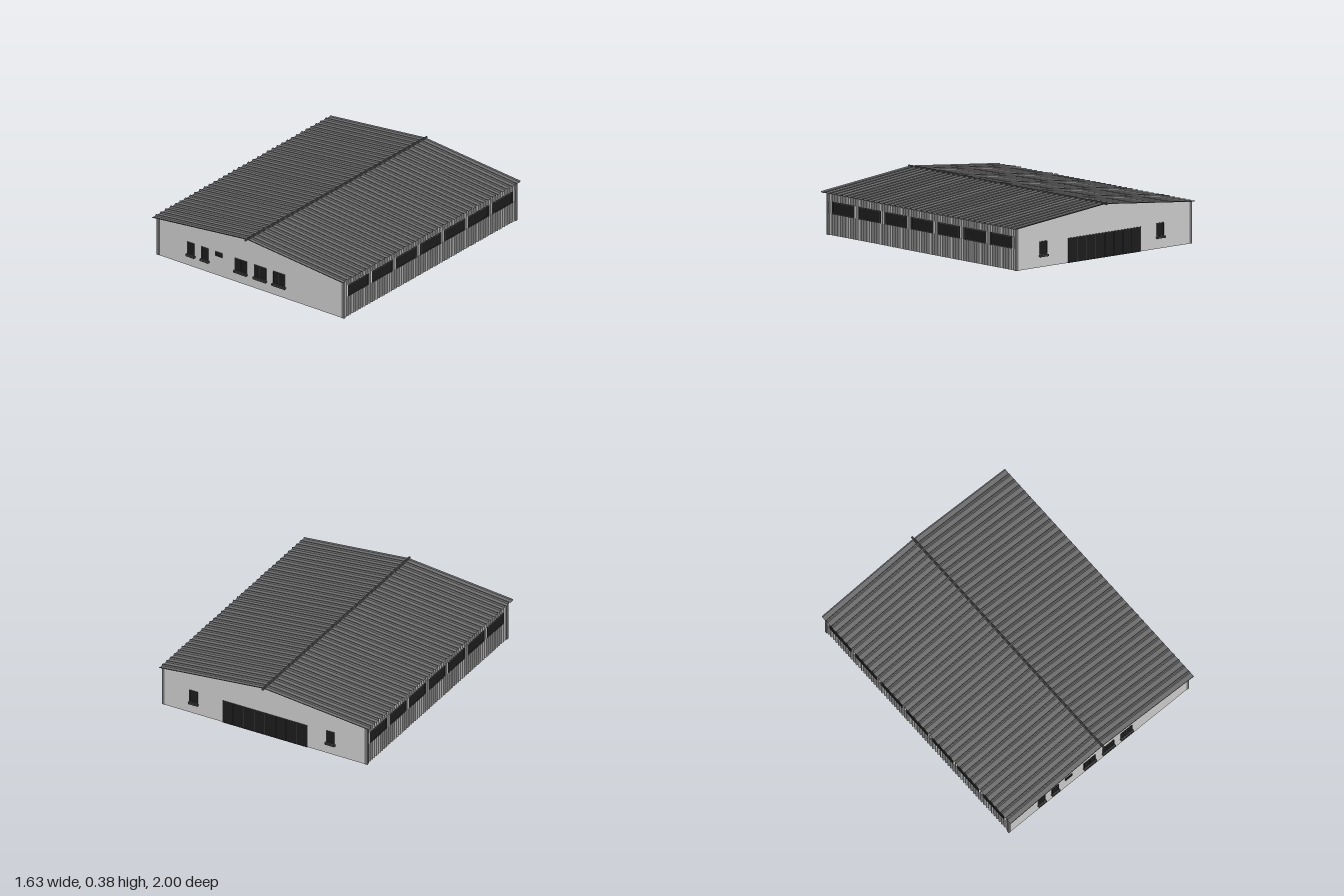
import * as THREE from 'three';

const grey = (color, double = false) => new THREE.MeshStandardMaterial({
  color, flatShading: true, side: double ? THREE.DoubleSide : THREE.FrontSide });
const wallMat = grey(0xcccccc, true);
const trimMat = grey(0x777777);
const roofMat = grey(0x6e6e6e, true);
const frameMat = grey(0x3c3c3c);
const glassMat = grey(0x1c1c1c);

// Main dimensions
const W = 0.8, FRONT = 0.942, BACK = -0.966, MID = (FRONT + BACK) / 2;
const ROOF_X = 0.816, ROOF_Z = 0.988, EAVE = 0.285, RIDGE = 0.365;
const roofY = x => RIDGE - (RIDGE - EAVE) * Math.abs(x) / ROOF_X;

function add(parent, name, geo, mat, x = 0, y = 0, z = 0) {
  const m = new THREE.Mesh(geo, mat);
  m.name = name;
  m.position.set(x, y, z);
  parent.add(m);
  return m;
}
const box = (parent, name, mat, w, h, d, x, y, z) =>
  add(parent, name, new THREE.BoxGeometry(w, h, d), mat, x, y, z);

// Trapezoidal rib profile: [distance, height] from t0 to t1
function ribProfile(t0, t1, pitch, base, crest, height) {
  const n = Math.max(1, Math.round((t1 - t0) / pitch)), p = (t1 - t0) / n, pts = [];
  const rib = (c, h) => pts.push([c - base / 2, 0], [c - crest / 2, h], [c + crest / 2, h], [c + base / 2, 0]);
  for (let i = 0; i <= n; i++) rib(t0 + i * p, height(i));
  return pts.filter(q => q[0] >= t0 - 1e-6 && q[0] <= t1 + 1e-6);
}

// Sweeps a profile between two ends; place(t, h, s) gives the point for s = 0 or 1
function sheet(profile, place) {
  const pos = [];
  for (let i = 0; i + 1 < profile.length; i++) {
    const [a, b] = [profile[i], profile[i + 1]];
    const c = [place(...a, 0), place(...a, 1), place(...b, 1), place(...b, 0)];
    for (const k of [0, 1, 2, 0, 2, 3]) pos.push(...c[k]);
  }
  const g = new THREE.BufferGeometry();
  g.setAttribute('position', new THREE.Float32BufferAttribute(pos, 3));
  g.computeVertexNormals();
  return g;
}

// Framed opening in the local xy plane, facing +z, split into equal panes
function framedPanel(name, w, h, panes, { sill = false, bar = 0.005 } = {}) {
  const g = new THREE.Group();
  g.name = name;
  box(g, 'glass', glassMat, w, h, 0.003, 0, h / 2, 0.002);
  for (const s of [-1, 1]) box(g, 'frameSide', frameMat, bar, h, 0.006, s * (w - bar) / 2, h / 2, 0.003);
  for (const y of [bar / 2, h - bar / 2]) box(g, 'frameRail', frameMat, w, bar, 0.006, 0, y, 0.003);
  for (let i = 1; i < panes; i++)
    box(g, 'mullion', frameMat, bar * 0.7, h, 0.006, -w / 2 + w * i / panes, h / 2, 0.003);
  if (sill) box(g, 'sill', frameMat, w + 0.01, 0.014, 0.018, 0, -0.009, 0.008);
  // reveal on the inner face of the wall
  box(g, 'reveal', wallMat, w, h, 0.012, 0, h / 2, -0.008);
  return g;
}

// Gable wall with its doors and windows: each opening is [x centre, y, width, height, panes, sill]
function gable(name, openings, door) {
  const g = new THREE.Group();
  g.name = name;
  const s = new THREE.Shape();
  s.moveTo(-W, 0);
  s.lineTo(W, 0);
  s.lineTo(W, roofY(W));
  s.lineTo(0, RIDGE);
  s.lineTo(-W, roofY(W));
  s.closePath();
  add(g, 'gableWall', new THREE.ExtrudeGeometry(s, { depth: 0.01, bevelEnabled: false }), wallMat, 0, 0, -0.01);
  for (const [x, y, w, h, panes, sill] of openings) {
    const win = framedPanel('gableWindow', w, h, panes, { sill, bar: 0.004 });
    win.position.set(x, y, 0);
    g.add(win);
  }
  if (door) {
    const d = framedPanel('slidingDoor', door.w, door.h, 8, { bar: 0.004 });
    d.position.x = door.x;
    g.add(d);
  }
  return g;
}

export function createModel() {
  const model = new THREE.Group();
  model.name = 'warehouse';

  // Front and back gables
  const front = gable('frontGable', [
    [-0.509, 0.087, 0.062, 0.09, 1, true], [-0.388, 0.087, 0.06, 0.09, 1, true],
    [-0.268, 0.144, 0.06, 0.032, 1, false],
    ...[-0.082, 0.084, 0.246].map(x => [x, 0.087, 0.102, 0.09, 2, true])]);
  front.position.z = FRONT;
  const back = gable('backGable', [
    [-0.554, 0.087, 0.064, 0.09, 1, true], [0.513, 0.087, 0.064, 0.09, 1, true]],
  { x: 0.004, w: 0.662, h: 0.17 });
  back.position.z = BACK;
  back.rotation.y = Math.PI;
  model.add(front, back);

  // Side walls: flat lining, ribbed cladding around the strip windows
  const winZ = Array.from({ length: 7 }, (_, i) => 0.78 - i * 0.2652);
  const y0 = 0.147, y1 = 0.233, winW = 0.222, top = roofY(W);
  for (const side of [-1, 1]) {
    const g = new THREE.Group();
    g.name = side > 0 ? 'leftSideWall' : 'rightSideWall';
    box(g, 'lining', wallMat, 0.006, top, FRONT - BACK, side * 0.786, top / 2, MID);
    const clad = (z0, z1, a, b) => add(g, 'ribbedCladding',
      sheet(ribProfile(z0, z1, 0.0265, 0.016, 0.009, () => 0.007),
        (t, h, s) => [side * (0.79 + h), s ? b : a, t]), wallMat);
    clad(BACK, FRONT, 0, y0);
    clad(BACK, FRONT, y1, top);
    const edges = [FRONT, ...winZ.flatMap(z => [z + winW / 2, z - winW / 2]), BACK];
    for (let i = 0; i < edges.length; i += 2) clad(edges[i + 1], edges[i], y0, y1);
    for (const z of winZ) {
      const win = framedPanel('stripWindow', winW, y1 - y0, 1, { bar: 0.007 });
      win.position.set(side * 0.793, y0, z);
      win.rotation.y = side * Math.PI / 2;
      g.add(win);
    }
    // Corner posts
    for (const z of [FRONT - 0.007, BACK + 0.007])
      box(g, 'cornerPost', trimMat, 0.021, top, 0.018, side * 0.7915, top / 2, z);
    model.add(g);
  }

  // Ribbed roof slopes, with taller ribs where the sheets overlap
  const ribs = ribProfile(-ROOF_Z, ROOF_Z, 0.0533, 0.02, 0.009, i => (i % 7 === 5 || i % 7 === 6 ? 0.011 : 0.009));
  for (const side of [-1, 1])
    add(model, side > 0 ? 'leftRoofSlope' : 'rightRoofSlope', sheet(ribs, (t, h, s) =>
      [side * s * ROOF_X, (s ? EAVE : RIDGE) + 0.001 + h, t]), roofMat);

  // Ridge cap
  const cap = new THREE.CylinderGeometry(0.008, 0.008, 2, 8).rotateX(Math.PI / 2);
  add(model, 'ridgeCap', cap, grey(0x555555), 0, RIDGE + 0.006, 0);

  return model;
}
